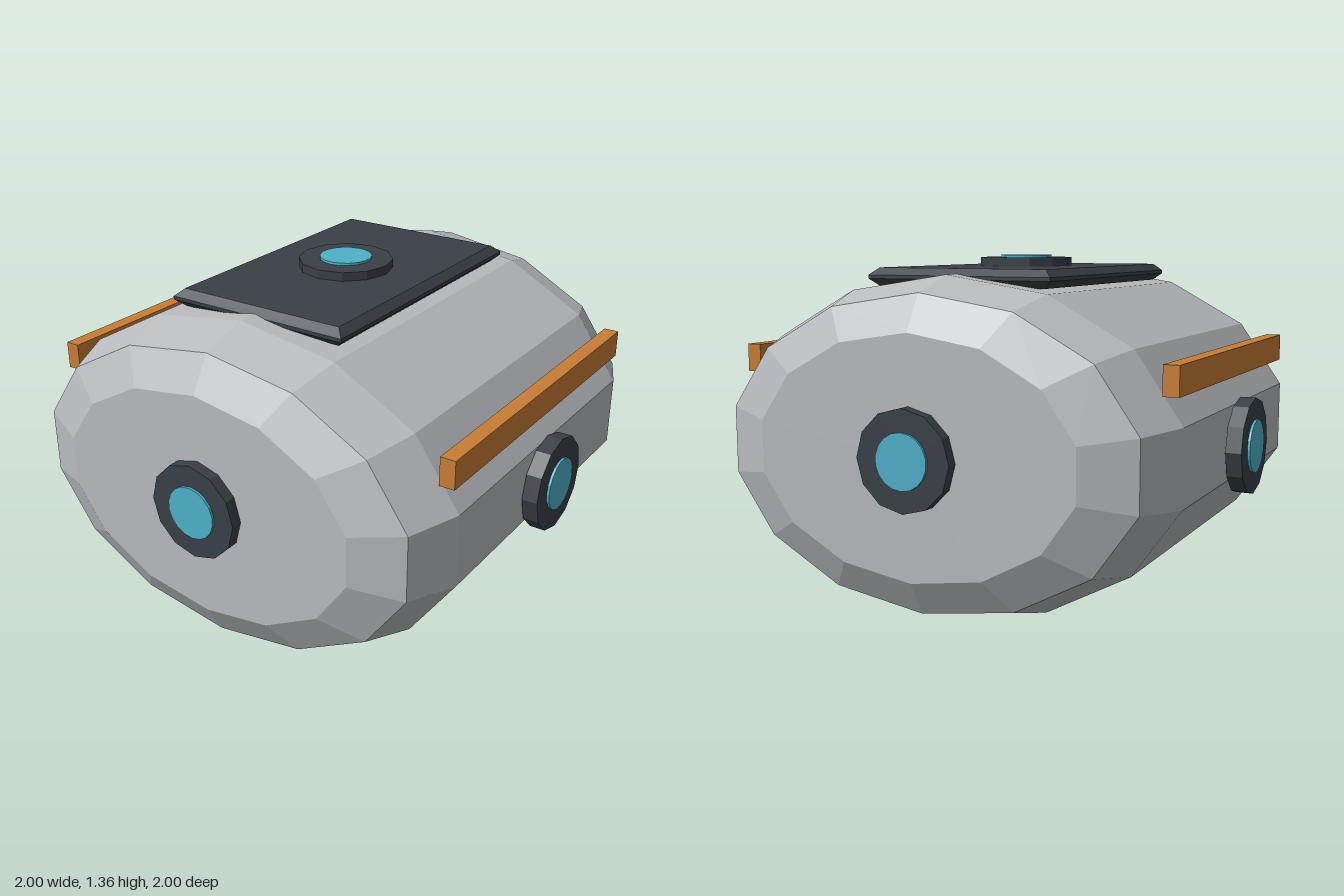
import * as THREE from 'three';

const mat = (name, color) => {
  const m = new THREE.MeshStandardMaterial({ color });
  m.name = name;
  return m;
};

// Faceted normals for the low-poly look
function faceted(geometry) {
  const g = geometry.index ? geometry.toNonIndexed() : geometry;
  g.computeVertexNormals();
  return g;
}

export function createModel() {
  const hull = mat('hullGrey', 0xb9bbbf);
  const dark = mat('darkPanel', 0x3a4047);
  const teal = mat('tealLens', 0x4fb1ca);
  const orange = mat('orangeRail', 0xc87d35);

  const model = new THREE.Group();
  model.name = 'pod';
  const add = (name, geometry, material, parent = model) => {
    const mesh = new THREE.Mesh(faceted(geometry), material);
    mesh.name = name;
    parent.add(mesh);
    return mesh;
  };

  // Oval fourteen-sided hull lying along z, with two-step chamfered ends
  const profile = [
    [0, -0.945], [0.7, -0.945], [0.91, -0.865], [1, -0.67],
    [1, 0.67], [0.91, 0.865], [0.7, 0.945], [0, 0.945],
  ].map(([r, y]) => new THREE.Vector2(r, y));
  const body = new THREE.LatheGeometry(profile, 14);
  body.rotateX(-Math.PI / 2).scale(0.945, 0.645, 1).translate(0, 0.645, 0);
  add('body', body, hull);

  // Bevelled roof plate
  const w = 0.356, d = 0.566;
  const outline = new THREE.Shape([
    new THREE.Vector2(-w, -d), new THREE.Vector2(w, -d),
    new THREE.Vector2(w, d), new THREE.Vector2(-w, d),
  ]);
  const plate = new THREE.ExtrudeGeometry(outline, {
    depth: 0.014, bevelThickness: 0.028, bevelSize: 0.032, bevelSegments: 1,
  });
  plate.rotateX(-Math.PI / 2).translate(0, 1.268, 0);
  add('roofPlate', plate, dark);

  // Side rails
  for (const side of [-1, 1]) {
    const rail = add(side > 0 ? 'leftRail' : 'rightRail', new THREE.BoxGeometry(0.06, 0.11, 1.385), orange);
    rail.position.set(side * 0.88, 0.947, 0);
  }

  // Round sensors: dark ring with a lens, outer face at the given point
  const up = new THREE.Vector3(0, 1, 0);
  const sensor = (name, point, direction) => {
    const group = new THREE.Group();
    group.name = name;
    const ring = add('sensorRing', new THREE.CylinderGeometry(0.19, 0.19, 0.062, 12), dark, group);
    ring.position.y = -0.041;
    const lens = add('sensorLens', new THREE.CylinderGeometry(0.105, 0.105, 0.08, 18), teal, group);
    lens.position.y = -0.04;
    group.position.set(...point);
    group.quaternion.setFromUnitVectors(up, new THREE.Vector3(...direction));
    model.add(group);
  };
  sensor('frontSensor', [0, 0.648, 1], [0, 0, 1]);
  sensor('backSensor', [0, 0.648, -1], [0, 0, -1]);
  sensor('leftSensor', [1, 0.622, 0], [1, 0, 0]);
  sensor('rightSensor', [-1, 0.622, 0], [-1, 0, 0]);
  sensor('topSensor', [0, 1.355, 0], [0, 1, 0]);

  return model;
}
